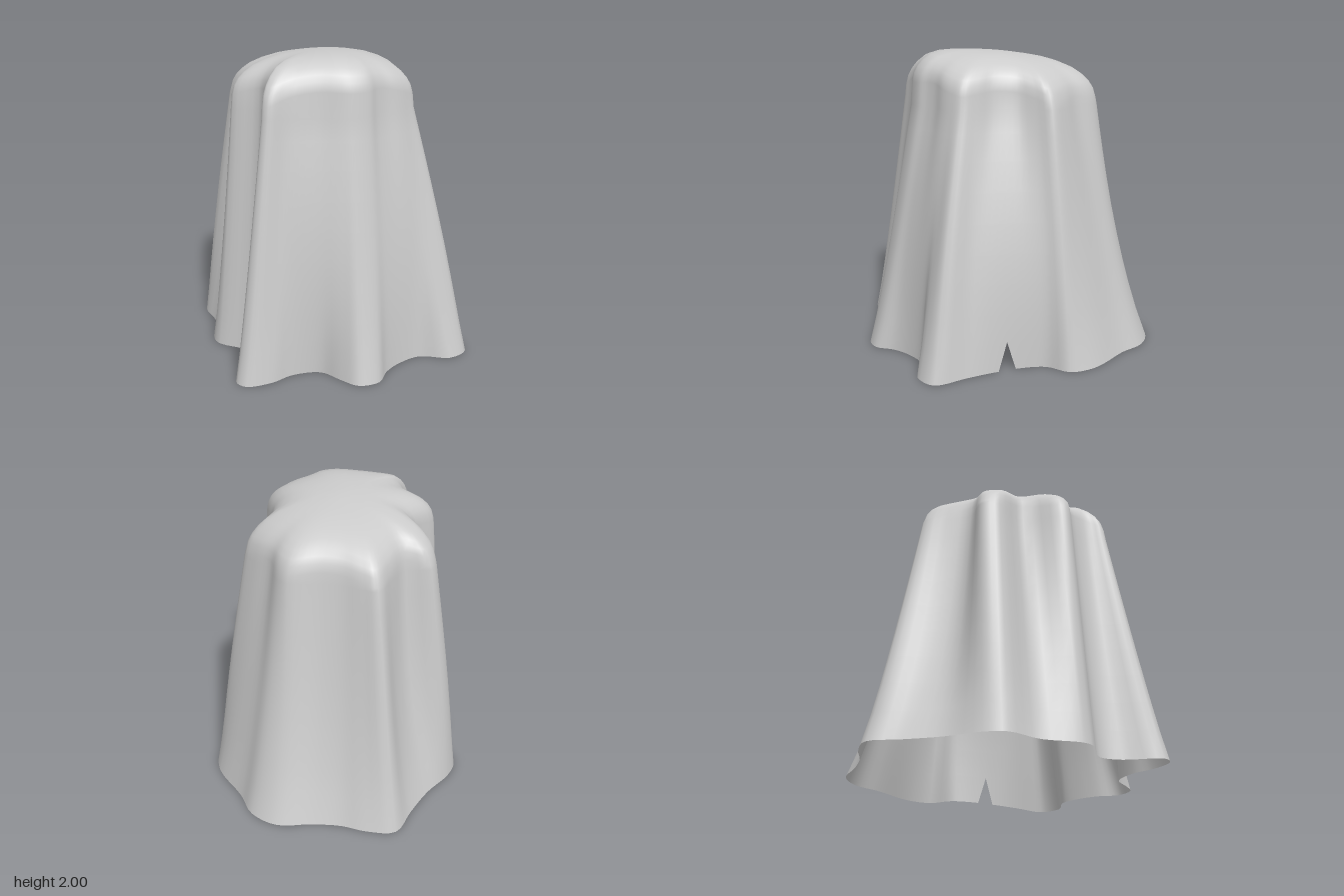
import * as THREE from 'three';

// Fold lines of the cloth: [hem x, hem z, shoulder x, shoulder z], front -> left -> back -> right
const FOLDS = [
  [-0.25, 0.83, -0.22, 0.65], [-0.07, 0.80, -0.07, 0.635], [0.06, 0.90, 0.07, 0.645],
  [0.17, 0.97, 0.14, 0.64], [0.30, 0.93, 0.24, 0.60], [0.36, 0.80, 0.29, 0.54],
  [0.46, 0.69, 0.35, 0.49], [0.60, 0.61, 0.43, 0.45], [0.80, 0.635, 0.49, 0.40],
  [0.92, 0.53, 0.54, 0.33], [0.84, 0.33, 0.51, 0.23], [0.78, 0.17, 0.46, 0.12],
  [0.72, -0.05, 0.45, -0.03], [0.72, -0.20, 0.50, -0.14], [0.81, -0.34, 0.55, -0.24],
  [0.76, -0.51, 0.46, -0.34], [0.54, -0.74, 0.34, -0.43], [0.42, -0.90, 0.27, -0.54],
  [0.23, -0.975, 0.19, -0.59], [0.00, -0.93, 0.00, -0.56], [-0.20, -0.91, -0.14, -0.56],
  [-0.38, -0.93, -0.27, -0.59], [-0.57, -0.90, -0.37, -0.60], [-0.65, -0.70, -0.43, -0.45],
  [-0.75, -0.48, -0.50, -0.30], [-0.88, -0.28, -0.66, -0.26], [-0.915, -0.14, -0.68, -0.14],
  [-0.82, 0.07, -0.52, 0.06], [-0.81, 0.32, -0.63, 0.28], [-0.76, 0.40, -0.62, 0.36],
  [-0.55, 0.51, -0.45, 0.44], [-0.53, 0.66, -0.40, 0.57], [-0.61, 0.90, -0.42, 0.67],
  [-0.54, 0.965, -0.38, 0.70], [-0.38, 0.92, -0.29, 0.67],
];
// How far some fold lines swell out (or sink in) half way up, by fold number
const BULGE = {
  0: 0.04, 1: 0.055, 2: 0.02, 5: 0.03, 6: 0.045, 7: 0.04, 9: 0.03, 10: 0.03,
  11: 0.07, 12: 0.08, 13: 0.06, 14: 0.02, 17: -0.02, 18: -0.035, 19: -0.03, 20: -0.02,
  21: -0.02, 23: -0.04, 24: -0.04, 25: 0.015, 26: 0.02,
};
const SUB = 4;                    // columns between neighbouring fold lines
const COLS = FOLDS.length * SUB;
const SHOULDER = 1.65;
const SLIT_COL = 11 * SUB + 2;    // column of the slit's tip in the hem

const SKIRT_ROWS = [0, 0.19, 0.38, 0.57, 0.76, 0.95, 1.14, 1.33, 1.5, SHOULDER];
// Rounded shoulder and crown: [scale of the outline, drop below the dome]
const CROWN_ROWS = [[0.985, 0.15], [0.96, 0.10], [0.92, 0.068], [0.86, 0.042],
  [0.77, 0.02], [0.64, 0.007], [0.48, 0], [0.3, 0], [0.12, 0]];
const CENTRE = new THREE.Vector3(-0.03, 0, 0.05);

// Domed top: rounds off to the sides and front, slopes gently down to the back
const domeHeight = (x, z) => 2 - (x < 0 ? 0.28 : 0.4) * x * x
  - 0.18 * Math.min(0, z - 0.3) ** 2 - 1.4 * Math.max(0, z - 0.45) ** 2;

// Smooth closed outline through the fold lines; y carries the bulge
function outline(ix, iz) {
  const pts = FOLDS.map((f, i) => new THREE.Vector3(f[ix], BULGE[i] ?? 0, f[iz]));
  const curve = new THREE.CatmullRomCurve3(pts, true, 'centripetal');
  return Array.from({ length: COLS }, (_, i) => curve.getPoint(i / COLS));
}

function clothGeometry() {
  const hem = outline(0, 1), rim = outline(2, 3);
  const pos = [], index = [];

  // Skirt rings, blending from hem to shoulder
  for (const y of SKIRT_ROWS) {
    const k = (y / SHOULDER) ** 0.9;
    for (let i = 0; i < COLS; i++) {
      const p = hem[i].clone().lerp(rim[i], k);
      const swell = 1 + hem[i].y * Math.sin(Math.PI * k) / Math.hypot(p.x, p.z);
      pos.push(p.x * swell, y, p.z * swell);
    }
  }
  // Crown rings, shrinking to the centre
  for (const [s, drop] of CROWN_ROWS) {
    for (const r of rim) {
      const p = CENTRE.clone().lerp(r, s);
      pos.push(p.x, domeHeight(p.x, p.z) - drop, p.z);
    }
  }
  const rows = SKIRT_ROWS.length + CROWN_ROWS.length;
  const tip = rows * COLS;
  pos.push(CENTRE.x, domeHeight(CENTRE.x, CENTRE.z), CENTRE.z);

  for (let r = 0; r < rows - 1; r++) {
    for (let i = 0; i < COLS; i++) {
      const j = (i + 1) % COLS;
      const a = r * COLS + i, b = r * COLS + j, c = b + COLS, d = a + COLS;
      // The slit leaves out the lower triangle on either side of its tip
      if (r === 0 && i === SLIT_COL - 1) index.push(a, c, d);
      else if (r === 0 && i === SLIT_COL) index.push(b, c, d);
      else index.push(a, b, c, a, c, d);
    }
  }
  const last = (rows - 1) * COLS;
  for (let i = 0; i < COLS; i++) index.push(last + i, last + (i + 1) % COLS, tip);

  const geo = new THREE.BufferGeometry();
  geo.setAttribute('position', new THREE.Float32BufferAttribute(pos, 3));
  geo.setIndex(index);
  geo.computeVertexNormals();
  return geo;
}

export function createModel() {
  const group = new THREE.Group();
  group.name = 'drapedSheet';
  const material = new THREE.MeshStandardMaterial({ color: 0xcccccc, side: THREE.DoubleSide });
  const cloth = new THREE.Mesh(clothGeometry(), material);
  cloth.name = 'cloth';
  group.add(cloth);
  return group;
}
